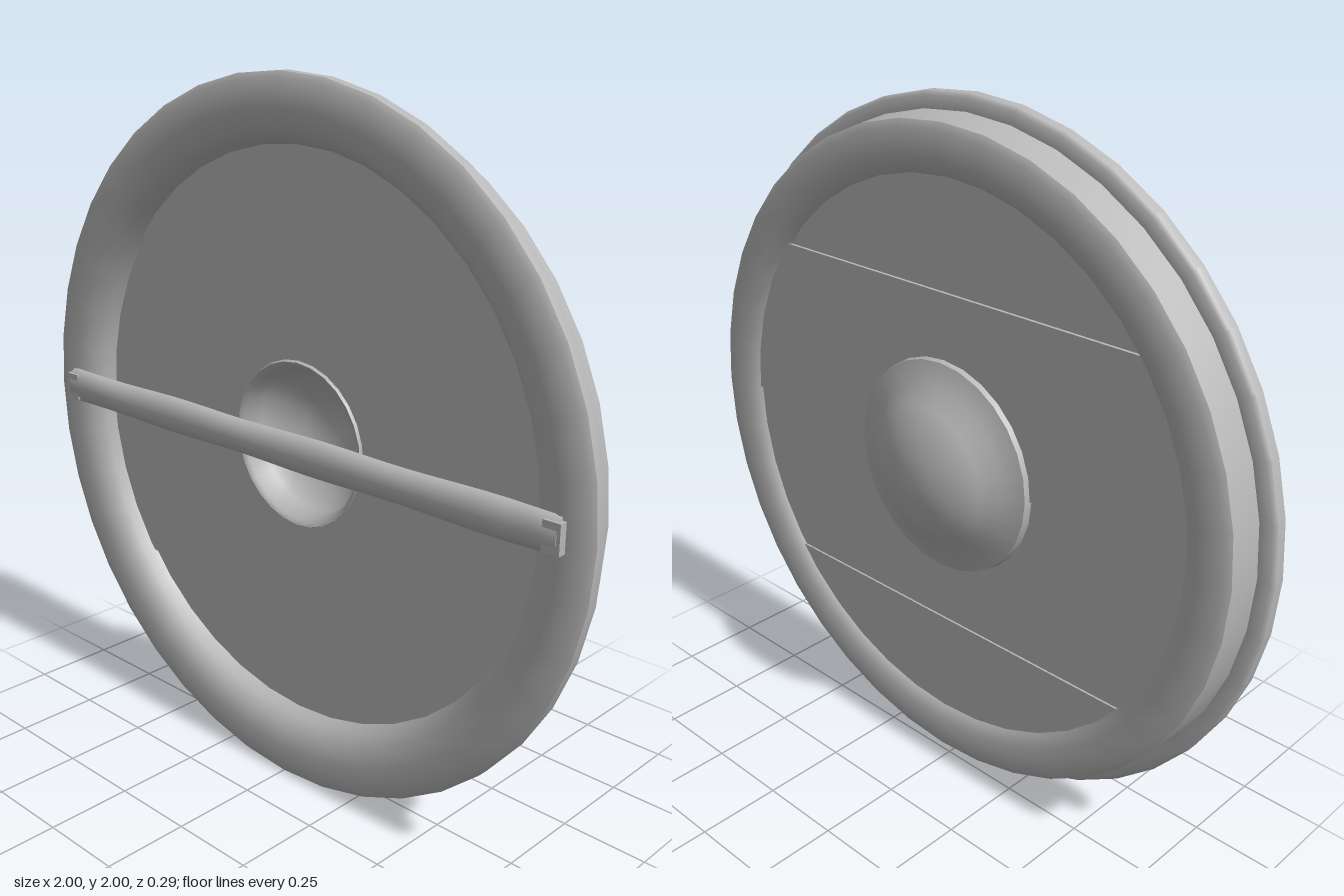
import * as THREE from 'three';
import { toCreasedNormals } from 'three/addons/utils/BufferGeometryUtils.js';

const metal = new THREE.MeshStandardMaterial({ color: 0xb8b8b8 });
metal.name = 'grey';

export function createModel() {
  const group = new THREE.Group();
  group.name = 'roundShield';

  function add(name, geometry, x = 0, y = 1, z = 0) {
    const mesh = new THREE.Mesh(geometry, metal);
    mesh.name = name;
    mesh.position.set(x, y, z);
    group.add(mesh);
    return mesh;
  }

  // Turns a [radius, z] profile around the z axis
  function turned(profile, segments, crease) {
    const points = profile.map(([r, z]) => new THREE.Vector2(r, z));
    const g = new THREE.LatheGeometry(points, segments).rotateX(Math.PI / 2);
    return toCreasedNormals(g, crease);
  }

  // Rim: broad rounded band with a thin flange on the grip side
  add('rim', turned([
    [0.8, 0.0], [0.81, -0.022], [0.85, -0.038], [0.925, -0.043], [0.945, -0.032],
    [0.955, 0.06], [0.99, 0.06], [1.0, 0.068], [1.0, 0.1], [0.985, 0.11],
    [0.91, 0.115], [0.855, 0.1], [0.825, 0.07], [0.81, 0.03], [0.8, 0.0],
  ], 40, 0.9));

  // Board: four planks, slightly offset from each other in depth
  const R = 0.84, hole = 0.23, a = Math.asin(0.5 / R);
  const inner = new THREE.Shape();
  inner.absarc(0, 0, R, 0, a, false);
  inner.absarc(0, 0, R, Math.PI - a, Math.PI, false);
  inner.absarc(0, 0, hole, Math.PI, 0, true);
  const outer = new THREE.Shape();
  outer.absarc(0, 0, R, a, Math.PI - a, false);
  const options = { depth: 0.055, bevelEnabled: false, curveSegments: 20 };
  [['upper', 0, -0.02, -0.011], ['lower', Math.PI, -0.014, -0.02]].forEach(([side, turn, zIn, zOut]) => {
    add(side + 'InnerPlank', new THREE.ExtrudeGeometry(inner, options).rotateZ(turn), 0, 1, zIn);
    add(side + 'OuterPlank', new THREE.ExtrudeGeometry(outer, options).rotateZ(turn), 0, 1, zOut);
  });

  // Boss: dome outside, hollow for the hand inside
  add('boss', turned([
    [0, -0.147], [0.07, -0.142], [0.14, -0.124], [0.2, -0.093], [0.245, -0.055],
    [0.31, -0.036], [0.315, -0.01], [0.25, 0.015], [0.235, 0.043], [0.22, 0.035],
    [0.205, -0.02], [0.17, -0.06], [0.1, -0.1], [0, -0.12],
  ], 28, 0.9));

  // Grip: softly uneven bar spanning the rim
  const grip = new THREE.CylinderGeometry(0.5, 0.5, 1.83, 12, 24).rotateZ(Math.PI / 2);
  const p = grip.attributes.position;
  for (let i = 0; i < p.count; i++) {
    const x = p.getX(i);
    const swell = 1 + 0.05 * Math.sin(x * 11);
    const taper = Math.abs(x) > 0.8 ? 0.85 : 1;
    p.setY(i, p.getY(i) * 0.104 * swell);
    p.setZ(i, p.getZ(i) * 0.066 * taper);
  }
  add('grip', toCreasedNormals(grip, 0.9), 0, 1.01, 0.112);

  // Grip end brackets
  for (const s of [-1, 1]) {
    add(s < 0 ? 'rightBracket' : 'leftBracket', new THREE.BoxGeometry(0.05, 0.08, 0.04), s * 0.9, 1.01, 0.117);
  }

  return group;
}
